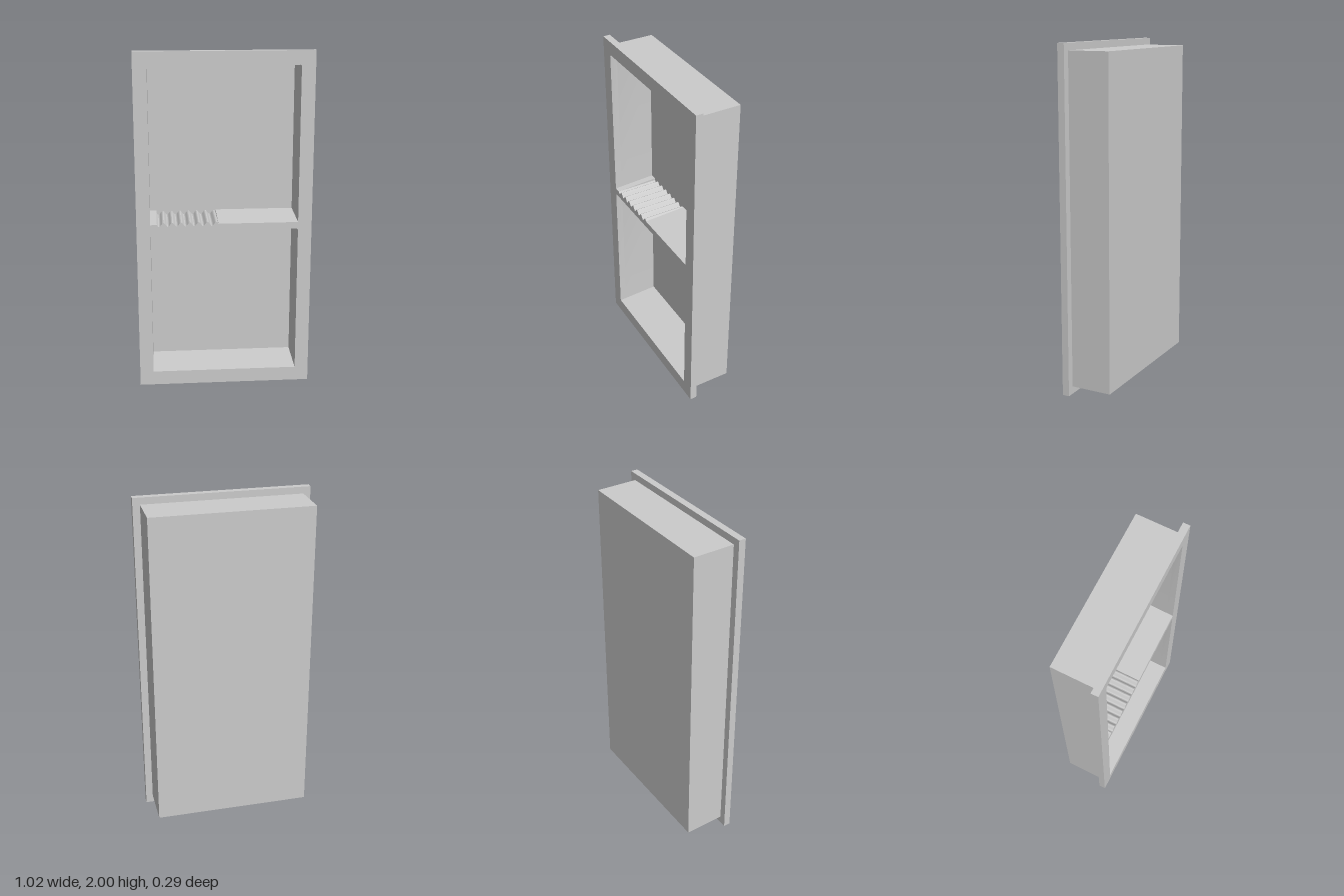
import * as THREE from 'three';
import { toCreasedNormals } from 'three/addons/utils/BufferGeometryUtils.js';

const FRONT = 0.143, FLANGE_BACK = 0.102, INNER_BACK = -0.113, BACK = -0.143;
const HALF = 0.43, FLOOR = 0.085, SHELF = 1.01, R = 0.01;
const WAVE_START = -0.392, WAVE_END = -0.035, WAVES = 7;

export function createModel() {
  const group = new THREE.Group();
  const material = new THREE.MeshStandardMaterial({ color: 0xcccccc });
  const add = (name, geometry) => {
    const mesh = new THREE.Mesh(geometry, material);
    mesh.name = name;
    group.add(mesh);
    return mesh;
  };

  // Lower opening: rectangle with small rounded corners
  function lowerOpening() {
    const p = new THREE.Path(), top = 0.97;
    p.moveTo(-HALF, FLOOR);
    p.lineTo(HALF, FLOOR);
    p.lineTo(HALF, top - R);
    p.quadraticCurveTo(HALF, top, HALF - R, top);
    p.lineTo(-HALF + R, top);
    p.quadraticCurveTo(-HALF, top, -HALF, top - R);
    p.closePath();
    return p;
  }

  // Upper opening: its bottom edge is the shelf with the rippled soap rest
  function upperOpening() {
    const p = new THREE.Path(), top = 1.92, steps = WAVES * 12;
    p.moveTo(-HALF, SHELF);
    for (let i = 0; i <= steps; i++) {
      const t = i / steps;
      p.lineTo(WAVE_START + t * (WAVE_END - WAVE_START),
        SHELF - 0.012 * Math.sin(t * WAVES * Math.PI * 2));
    }
    p.lineTo(HALF, SHELF);
    p.lineTo(HALF, top - R);
    p.quadraticCurveTo(HALF, top, HALF - R, top);
    p.lineTo(-HALF + R, top);
    p.quadraticCurveTo(-HALF, top, -HALF, top - R);
    p.closePath();
    return p;
  }

  // Rectangular slab pierced by both openings
  function piercedSlab(halfWidth, y0, y1, z0, z1) {
    const s = new THREE.Shape([
      new THREE.Vector2(-halfWidth, y0), new THREE.Vector2(halfWidth, y0),
      new THREE.Vector2(halfWidth, y1), new THREE.Vector2(-halfWidth, y1),
    ]);
    s.holes.push(lowerOpening(), upperOpening());
    const g = new THREE.ExtrudeGeometry(s, { depth: z1 - z0, bevelEnabled: false, curveSegments: 5 });
    g.translate(0, 0, z0);
    return toCreasedNormals(g, 0.6);
  }

  add('frontFlange', piercedSlab(0.51, 0, 2, FLANGE_BACK, FRONT));
  add('nicheWalls', piercedSlab(0.468, 0.045, 1.96, INNER_BACK, FLANGE_BACK));
  add('backPanel', new THREE.BoxGeometry(0.936, 1.915, INNER_BACK - BACK))
    .position.set(0, 1.0025, (INNER_BACK + BACK) / 2);

  // Drainage slopes: thin wedges rising towards the back
  function slope(name, x0, x1, y) {
    const s = new THREE.Shape([
      new THREE.Vector2(FRONT, y), new THREE.Vector2(INNER_BACK, y + 0.014),
      new THREE.Vector2(INNER_BACK, y),
    ]);
    const g = new THREE.ExtrudeGeometry(s, { depth: x1 - x0, bevelEnabled: false });
    g.rotateY(-Math.PI / 2);
    add(name, g).position.x = x1;
  }
  slope('floorSlope', -HALF, HALF, FLOOR);
  slope('shelfSlopeRight', -HALF, WAVE_START, SHELF);
  slope('shelfSlopeLeft', WAVE_END, HALF, SHELF);

  return group;
}
